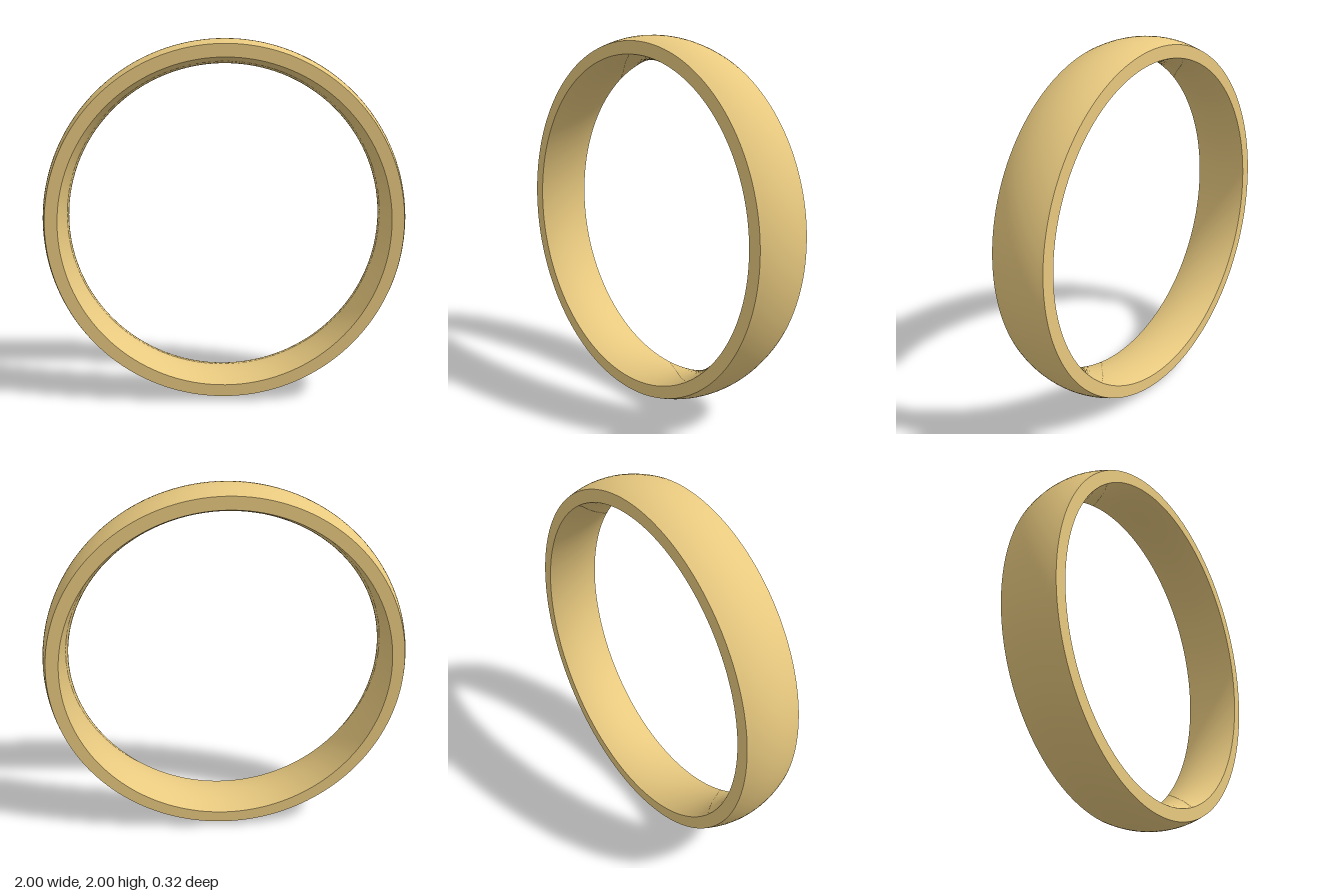
import * as THREE from 'three';
import { toCreasedNormals } from 'three/addons/utils/BufferGeometryUtils.js';

const HALF_WIDTH = 0.16;
const STEPS = 12;

// Points of a shallow circular arc bulging from edgeRadius to midRadius across the band
function crown(edgeRadius, midRadius) {
  const sag = midRadius - edgeRadius;
  const h = Math.abs(sag);
  const r = (HALF_WIDTH ** 2 + h ** 2) / (2 * h);
  const half = Math.asin(HALF_WIDTH / r);
  const points = [];
  for (let i = 0; i <= STEPS; i++) {
    const a = -half + (2 * half * i) / STEPS;
    const bulge = r * Math.cos(a) - (r - h);
    points.push(new THREE.Vector2(edgeRadius + Math.sign(sag) * bulge, r * Math.sin(a)));
  }
  return points;
}

export function createModel() {
  const group = new THREE.Group();
  group.name = 'ring';

  // Closed cross-section: domed outside, flat rims, domed comfort-fit inside
  const profile = [...crown(0.968, 1.0), ...crown(0.9, 0.87).reverse()];
  profile.push(profile[0].clone());

  const geometry = toCreasedNormals(new THREE.LatheGeometry(profile, 160), 0.6);
  geometry.rotateX(Math.PI / 2);
  geometry.translate(0, 1, 0);

  const band = new THREE.Mesh(geometry, new THREE.MeshStandardMaterial({ color: 0xe8c97f }));
  band.name = 'band';
  group.add(band);
  return group;
}
